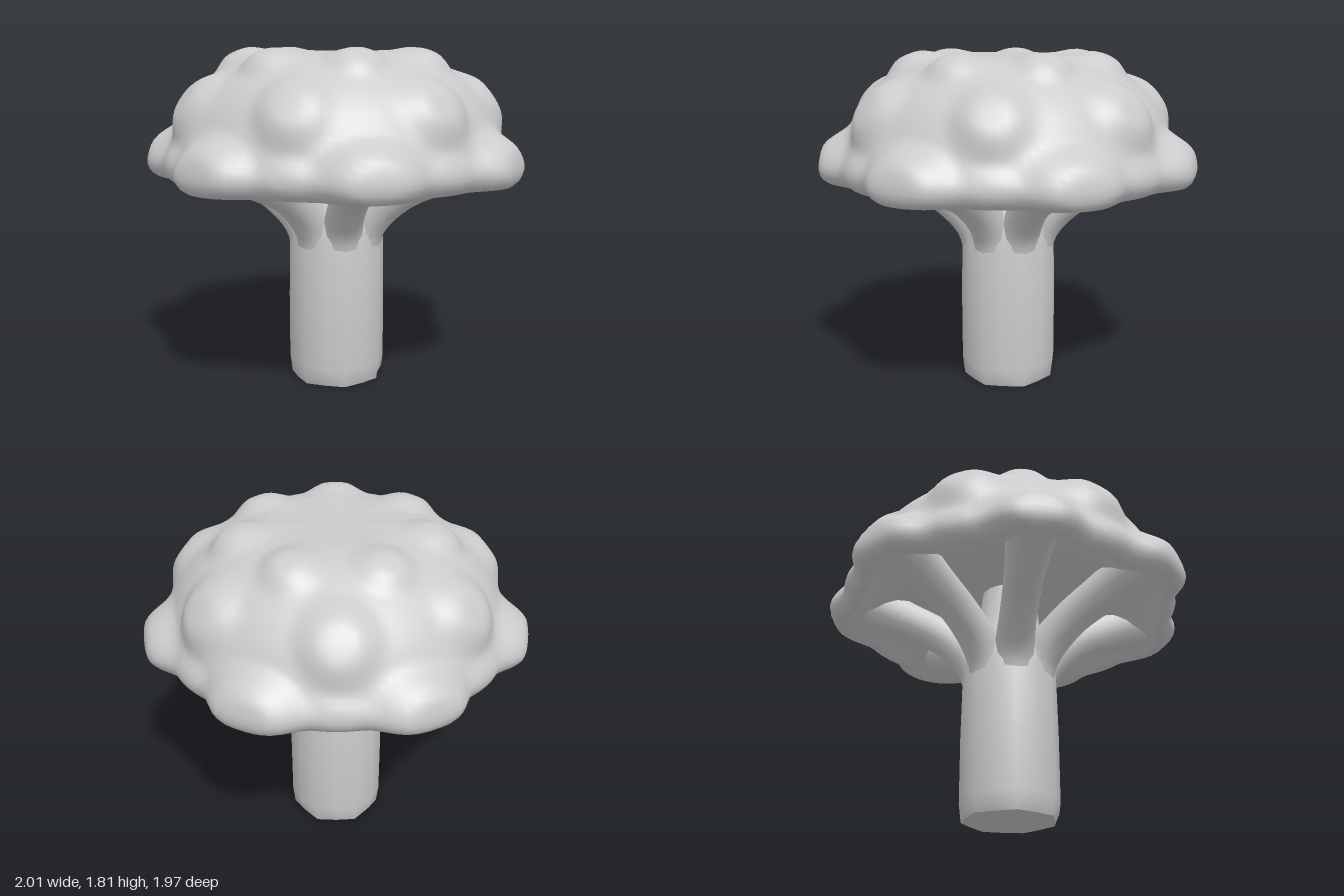
import * as THREE from 'three';
import { mergeVertices, toCreasedNormals } from 'three/addons/utils/BufferGeometryUtils.js';

const COUNT = 7;                      // lobes, bumps and branches around the axis
const STEP = (Math.PI * 2) / COUNT;
const V2 = (p) => new THREE.Vector2(p[0], p[1]);
const material = new THREE.MeshStandardMaterial({ color: 0xcccccc });

function add(parent, name, geometry) {
  const mesh = new THREE.Mesh(geometry, material);
  mesh.name = name;
  parent.add(mesh);
  return mesh;
}

// Weld a geometry so its normals run smoothly over seams
function smooth(geometry) {
  geometry.deleteAttribute('uv');
  geometry.deleteAttribute('normal');
  const welded = mergeVertices(geometry, 1e-4);
  welded.computeVertexNormals();
  return welded;
}

// Rows of bumps: radius and height of centre, half width, half length, height, turn
const BUMPS = [
  { r: 0.93, y: 1.22, w: 0.32, l: 0.24, amp: 0.1, core: 0.35, turn: 0 },       // rim lobes
  { r: 0.91, y: 1.23, w: 0.22, l: 0.13, amp: 0.022, core: 0.2, turn: 0.5 },    // between lobes
  { r: 0.78, y: 1.54, w: 0.23, l: 0.25, amp: 0.055, core: 0.3, turn: 0.5 },    // middle row
  { r: 0.49, y: 1.75, w: 0.19, l: 0.2, amp: 0.052, core: 0.2, turn: 0 },       // top row
];

// Domed cap, hollow below, swollen by the bump rows
function capGeometry() {
  const profile = new THREE.SplineCurve([
    [0, 1.3], [0.35, 1.3], [0.62, 1.26], [0.78, 1.18], [0.85, 1.13], [0.89, 1.15], [0.91, 1.21],
    [0.895, 1.29], [0.85, 1.41], [0.77, 1.55], [0.65, 1.67], [0.49, 1.755], [0.33, 1.79],
  ].map(V2)).getSpacedPoints(70);
  profile.push(new THREE.Vector2(0.15, 1.79), new THREE.Vector2(0, 1.79));
  const geo = smooth(new THREE.LatheGeometry(profile, 140));
  const pos = geo.attributes.position;
  const p = new THREE.Vector3();
  const dir = new THREE.Vector3();
  for (let i = 0; i < pos.count; i++) {
    p.fromBufferAttribute(pos, i);
    const r = Math.hypot(p.x, p.z);
    const angle = Math.atan2(p.x, p.z) - Math.PI;
    let push = 0;
    for (const b of BUMPS) {
      const turn = angle / STEP - b.turn;
      const d = (turn - Math.round(turn)) * STEP;
      const across = (r * Math.sin(d)) / b.w;
      const along = Math.hypot(r * Math.cos(d) - b.r, p.y - b.y) / b.l;
      push += b.amp * (1 - THREE.MathUtils.smoothstep(Math.hypot(across, along), b.core, 1));
    }
    dir.set(p.x, Math.max(0, p.y - 1.2), p.z).normalize();
    p.addScaledVector(dir, push);
    pos.setXYZ(i, p.x, p.y, p.z);
  }
  geo.computeVertexNormals();
  return geo;
}

// Round stalk with a slightly scalloped foot, running up between the branches
function stemGeometry() {
  const points = [[0, 0], [0.25, 0], [0.254, 0.035], [0.262, 0.1], [0.262, 0.45], [0.256, 0.8],
    [0.24, 0.92], [0.21, 1.02], [0.17, 1.12], [0.15, 1.32]].map(V2);
  const sides = 14;
  const geo = new THREE.LatheGeometry(points, sides);
  const pos = geo.attributes.position;
  for (let i = 0; i < pos.count; i++) {
    const ring = i % points.length;
    const side = Math.floor(i / points.length);
    if (ring === 1 && side % 2 === 0) {
      pos.setX(i, pos.getX(i) * 0.93);
      pos.setZ(i, pos.getZ(i) * 0.93);
    }
  }
  return toCreasedNormals(smooth(geo), 0.9);
}

// Branch that leaves the stalk, bends outward and widens into the cap
function branchGeometry() {
  const path = new THREE.CatmullRomCurve3([
    [0.1, 0.66], [0.18, 0.87], [0.37, 1.055], [0.6, 1.18], [0.79, 1.27],
  ].map(([r, y]) => new THREE.Vector3(0, y, r)));
  const rings = 20;
  const sides = 12;
  const geo = new THREE.TubeGeometry(path, rings, 1, sides);
  const pos = geo.attributes.position;
  const p = new THREE.Vector3();
  for (let i = 0; i < pos.count; i++) {
    const t = Math.floor(i / (sides + 1)) / rings;
    const centre = path.getPointAt(t);
    const radius = 0.1 + 0.04 * (2 * t - 1) ** 2;
    p.fromBufferAttribute(pos, i).sub(centre).multiplyScalar(radius).add(centre);
    pos.setXYZ(i, p.x, p.y, p.z);
  }
  return smooth(geo);
}

export function createModel() {
  const group = new THREE.Group();
  group.name = 'floret';
  const body = new THREE.Group();
  body.name = 'body';
  body.position.z = 0.025;
  group.add(body);

  add(body, 'cap', capGeometry());
  add(body, 'stem', stemGeometry());

  // One branch under each rim lobe
  const branch = branchGeometry();
  for (let k = 0; k < COUNT; k++) {
    add(body, 'branch', branch).rotation.y = Math.PI + k * STEP;
  }
  return group;
}
